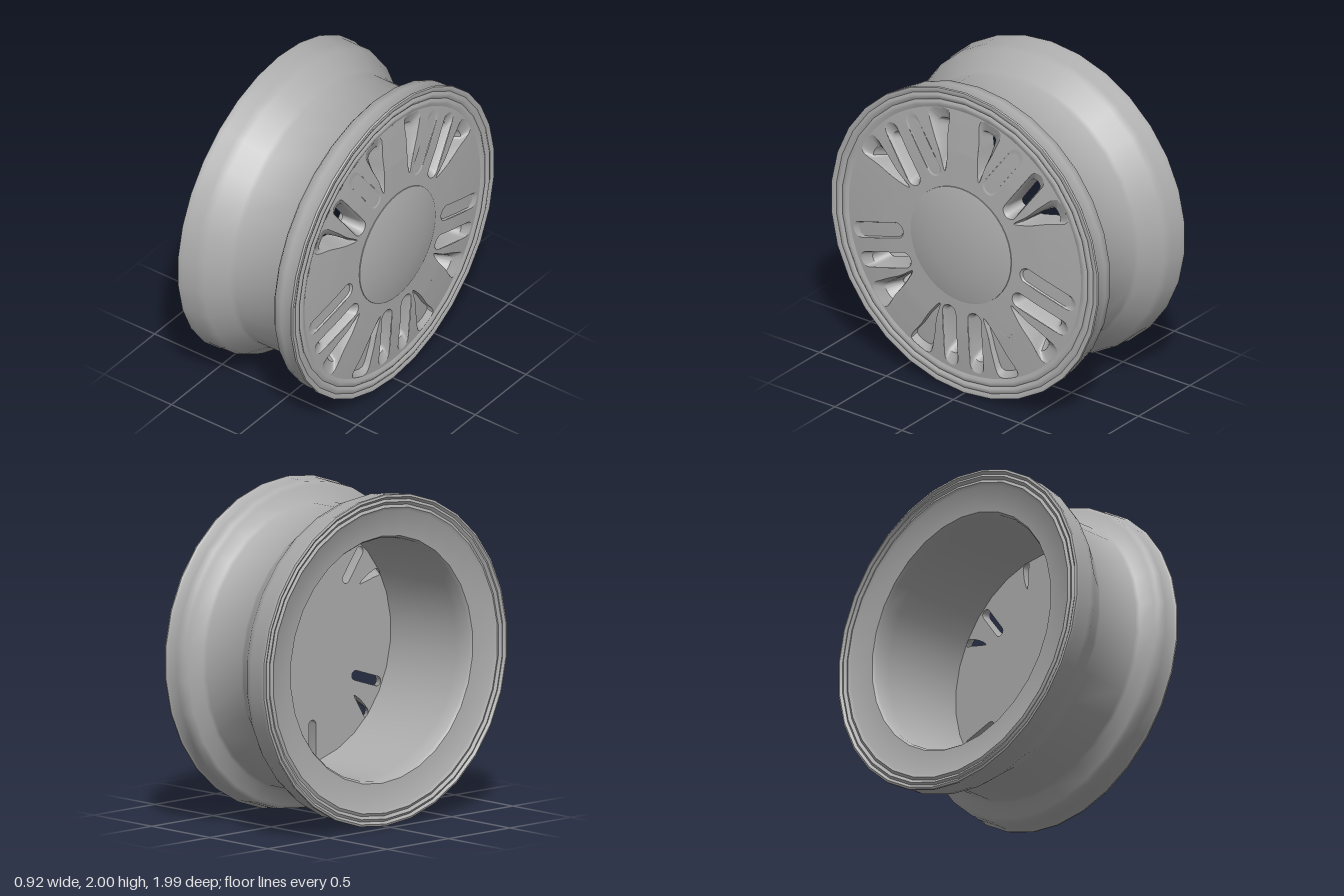
import * as THREE from 'three';
import { mergeVertices, toCreasedNormals } from 'three/addons/utils/BufferGeometryUtils.js';

const metal = new THREE.MeshStandardMaterial({ color: 0xaeaeae, side: THREE.DoubleSide });
metal.name = 'grey metal';

// Height of the face above the wheel's middle plane, by radius
const faceProfile = [[0, 0.428], [0.36, 0.422], [0.6, 0.412], [0.78, 0.396], [0.9, 0.383]];
function faceHeight(r) {
  for (let i = 1; i < faceProfile.length; i++) {
    const [r0, h0] = faceProfile[i - 1], [r1, h1] = faceProfile[i];
    if (r <= r1) return h0 + (h1 - h0) * (r - r0) / (r1 - r0);
  }
  return 0.383;
}

// Outlines in (along spoke, across spoke) coordinates
function smoothLoop(points, count = 28) {
  const curve = new THREE.CatmullRomCurve3(points.map(([u, v]) => new THREE.Vector3(u, v, 0)), true, 'centripetal');
  return Array.from({ length: count }, (_, i) => curve.getPoint(i / count)).map(p => [p.x, p.y]);
}
function stadium(u0, u1, v, w) {
  const pts = [], n = 8;
  for (let i = 0; i <= n; i++) {
    const t = -Math.PI / 2 + Math.PI * i / n;
    pts.push([u1 - w + Math.cos(t) * w, v + Math.sin(t) * w]);
  }
  for (let i = 0; i <= n; i++) {
    const t = Math.PI / 2 + Math.PI * i / n;
    pts.push([u0 + w + Math.cos(t) * w, v + Math.sin(t) * w]);
  }
  return pts;
}
const blend = (a, b, t) => a.map((p, i) => [p[0] + (b[i][0] - p[0]) * t, p[1] + (b[i][1] - p[1]) * t]);

const pocketFront = smoothLoop([[0.45, 0.127], [0.55, 0.113], [0.7, 0.117], [0.846, 0.122], [0.812, 0.265], [0.69, 0.23], [0.56, 0.168]]);
const pocketBack = smoothLoop([[0.55, 0.138], [0.59, 0.132], [0.66, 0.128], [0.718, 0.125], [0.71, 0.165], [0.66, 0.168], [0.59, 0.155]]);
const slotFront = stadium(0.43, 0.84, 0.095, 0.05);
const slotBack = stadium(0.47, 0.715, 0.095, 0.029);

// Openings: outline kind, spoke angle from the top, side of the spoke, recess depth (0 goes right through)
const openings = [
  ['pocket', 0, 1, 0], ['pocket', 72, -1, 0], ['pocket', 144, -1, 0], ['pocket', 144, 1, 0.03],
  ['slot', 36, -1, 0.004], ['slot', 36, 1, 0], ['slot', 108, -1, 0.012], ['slot', 108, 1, 0], ['slot', 180, -1, 0],
];
const BACK = 0.27;

function place(outline, degrees, side, mirror) {
  const a = THREE.MathUtils.degToRad(degrees), s = Math.sin(a), c = Math.cos(a);
  return outline.map(([u, v]) => new THREE.Vector2(mirror * (u * s + side * v * c), u * c - side * v * s));
}

function addMesh(group, name, geometry) {
  const mesh = new THREE.Mesh(geometry, metal);
  mesh.name = name;
  group.add(mesh);
}

// Split every triangle in four so a flat sheet can follow the dished face
function subdivide(geometry) {
  const src = geometry.toNonIndexed().attributes.position, out = [];
  for (let i = 0; i < src.count; i += 3) {
    const [a, b, c] = [0, 1, 2].map(k => new THREE.Vector3().fromBufferAttribute(src, i + k));
    const [ab, bc, ca] = [[a, b], [b, c], [c, a]].map(([p, q]) => p.clone().lerp(q, 0.5));
    for (const p of [a, ab, ca, ab, b, bc, ca, bc, c, ab, bc, ca]) out.push(p.x, p.y, p.z);
  }
  const geo = new THREE.BufferGeometry();
  geo.setAttribute('position', new THREE.Float32BufferAttribute(out, 3));
  return mergeVertices(geo);
}

// Sheet in the face plane, lifted by a height rule and turned to look along +x
function plate(shape, height, levels) {
  let geo = new THREE.ShapeGeometry(shape, 60);
  for (let i = 0; i < levels; i++) geo = subdivide(geo);
  const pos = geo.attributes.position;
  for (let i = 0; i < pos.count; i++) pos.setZ(i, height(Math.hypot(pos.getX(i), pos.getY(i))));
  geo.rotateY(Math.PI / 2);
  geo.computeVertexNormals();
  return geo;
}

// Wall through a stack of matching loops
function loft(rings) {
  const n = rings[0].length, positions = [], index = [];
  rings.forEach(ring => ring.forEach(p => positions.push(p.x, p.y, p.z)));
  for (let j = 0; j < rings.length - 1; j++) {
    for (let i = 0; i < n; i++) {
      const a = j * n + i, b = j * n + (i + 1) % n;
      index.push(a, b, a + n, b, b + n, a + n);
    }
  }
  const geo = new THREE.BufferGeometry();
  geo.setAttribute('position', new THREE.Float32BufferAttribute(positions, 3));
  geo.setIndex(index);
  geo.rotateY(Math.PI / 2);
  return toCreasedNormals(geo, 0.7);
}

// Revolve a profile of [radius, x] about the wheel axle
function revolve(profile, segments, crease) {
  const geo = new THREE.LatheGeometry(profile.map(([r, x]) => new THREE.Vector2(r, x)), segments, Math.PI / 2);
  geo.rotateZ(-Math.PI / 2);
  return toCreasedNormals(geo, crease);
}

export function createModel() {
  const wheel = new THREE.Group();
  wheel.name = 'wheelRim';
  const body = new THREE.Group();
  body.name = 'wheelBody';
  body.position.y = 1;
  wheel.add(body);

  // Barrel with drop centre, flanges and ridged lips
  addMesh(body, 'barrel', revolve([
    [0.73, -0.3], [0.732, -0.405], [0.745, -0.425], [0.9, -0.444], [0.92, -0.456], [0.937, -0.447],
    [0.955, -0.459], [0.97, -0.45], [0.985, -0.462], [0.998, -0.457], [1, -0.447], [0.991, -0.425],
    [0.99, -0.335], [0.972, -0.285], [0.88, -0.16], [0.868, -0.13], [0.866, 0.17], [0.88, 0.192],
    [0.96, 0.23], [0.982, 0.248], [0.988, 0.3], [0.99, 0.37], [1, 0.382], [0.997, 0.394],
    [0.985, 0.397], [0.965, 0.388], [0.95, 0.397], [0.935, 0.396], [0.92, 0.386], [0.906, 0.395],
    [0.89, 0.394], [0.865, 0.383], [0.86, 0.33], [0.73, 0.265], [0.73, -0.3],
  ], 30, 0.85));

  // Spoked face and its back disc share the same openings
  const face = new THREE.Shape().absarc(0, 0, 0.868, 0, Math.PI * 2, false);
  face.holes.push(new THREE.Path().absarc(0, 0, 0.365, 0, Math.PI * 2, true));
  const back = new THREE.Shape().absarc(0, 0, 0.74, 0, Math.PI * 2, false);

  for (const mirror of [1, -1]) {
    for (const [kind, angle, side, recess] of openings) {
      const front = kind === 'slot' ? slotFront : pocketFront;
      const rear = kind === 'slot' ? slotBack : pocketBack;
      const at = outline => place(outline, angle, side, mirror);
      const ring = (outline, depth) => at(outline).map(p =>
        new THREE.Vector3(p.x, p.y, Math.max(BACK, faceHeight(p.length()) - depth)));
      const middle = blend(front, rear, recess ? 0.3 : 0.55);
      face.holes.push(new THREE.Path(at(front)));
      const rings = [ring(front, 0), ring(middle, recess || 0.03)];
      if (recess) {
        addMesh(body, kind + 'Floor', plate(new THREE.Shape(at(middle)), r => faceHeight(r) - recess, 1));
      } else {
        rings.push(ring(rear, 1));
        back.holes.push(new THREE.Path(at(rear)));
      }
      addMesh(body, kind + 'Wall', loft(rings));
    }
  }
  addMesh(body, 'spokeFace', plate(face, faceHeight, 3));
  addMesh(body, 'backDisc', plate(back, () => BACK, 0));

  // Raised hub cap
  addMesh(body, 'hubCap', revolve([[0.378, 0.405], [0.375, 0.426], [0.355, 0.431], [0.19, 0.46], [0, 0.461]], 40, 0.6));

  return wheel;
}
